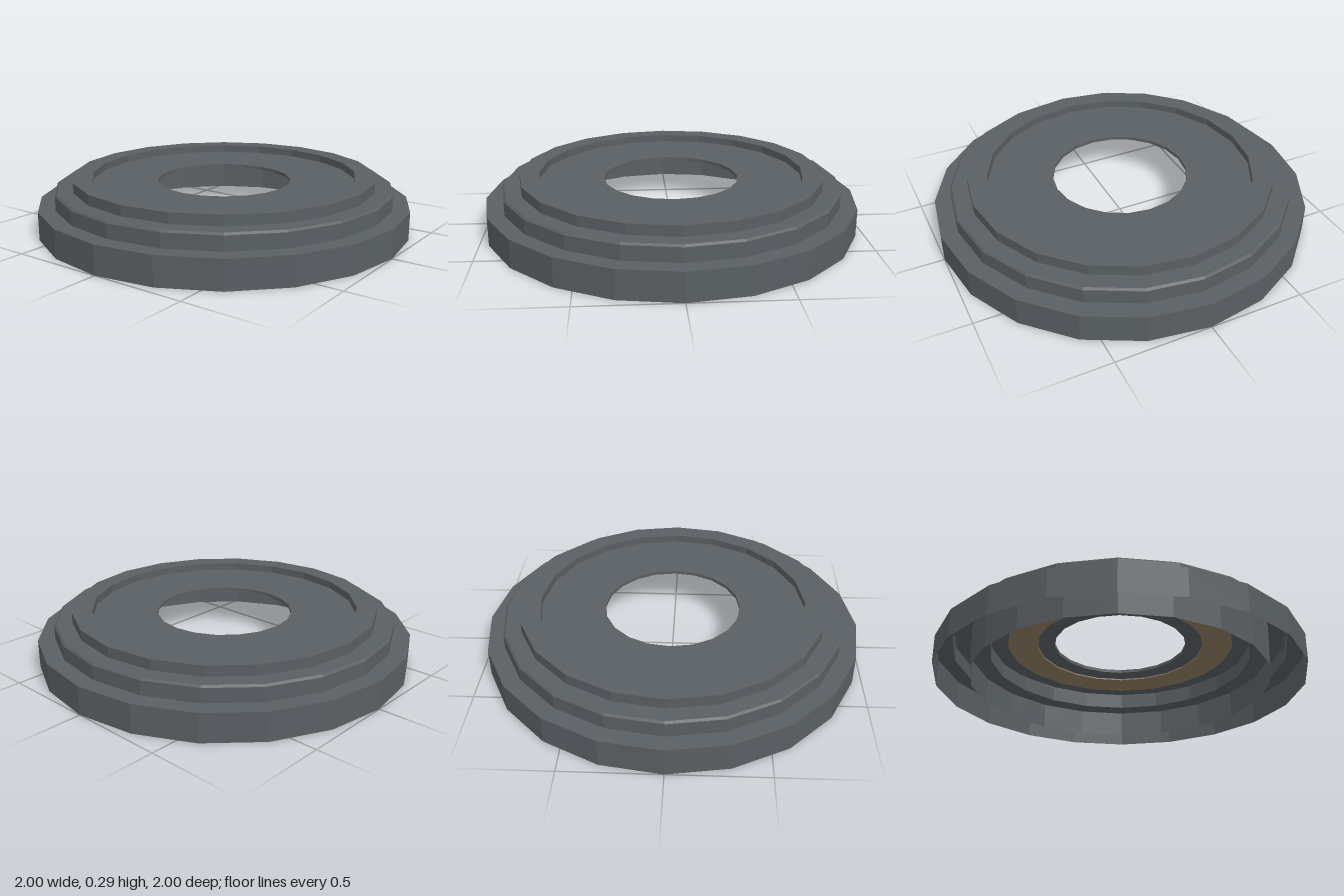
import * as THREE from 'three';

const SIDES = 20;

export function createModel() {
  const group = new THREE.Group();
  const grey = new THREE.MeshStandardMaterial({
    name: 'dark grey metal', color: 0x5a5f63, flatShading: true, side: THREE.DoubleSide,
  });
  const brown = new THREE.MeshStandardMaterial({
    name: 'brown gasket', color: 0x907c63, flatShading: true, side: THREE.DoubleSide,
  });

  // Revolves a profile of [radius, height] points into a low-poly ring
  function ring(name, material, profile) {
    const points = profile.map(([r, y]) => new THREE.Vector2(r, y));
    const mesh = new THREE.Mesh(new THREE.LatheGeometry(points, SIDES), material);
    mesh.name = name;
    group.add(mesh);
  }

  // Thin outer skirt, open underneath
  ring('outerSkirt', grey, [[1, 0], [1, 0.15], [0.91, 0.15]]);

  // Middle step with a small bevel
  ring('middleStep', grey, [[0.91, 0.15], [0.91, 0.225], [0.9, 0.235], [0.815, 0.235]]);

  // Inner wall hanging down to the base, and the raised lip on top
  ring('innerWall', grey, [[0.81, 0], [0.815, 0.235]]);
  ring('raisedLip', grey, [[0.815, 0.235], [0.815, 0.29], [0.71, 0.29], [0.71, 0.25]]);

  // Ledge below the lip
  ring('lowerLedge', grey, [[0.71, 0.225], [0.71, 0.145], [0.81, 0.145]]);

  // Recessed plate with the round opening
  ring('recessedPlate', grey, [[0.71, 0.25], [0.362, 0.25], [0.362, 0.232], [0.71, 0.232]]
    .map(([r, y]) => [r, y]));

  // Flat gasket under the plate
  ring('gasket', brown, [[0.455, 0.232], [0.455, 0.224], [0.62, 0.224], [0.62, 0.232]]);

  return group;
}
